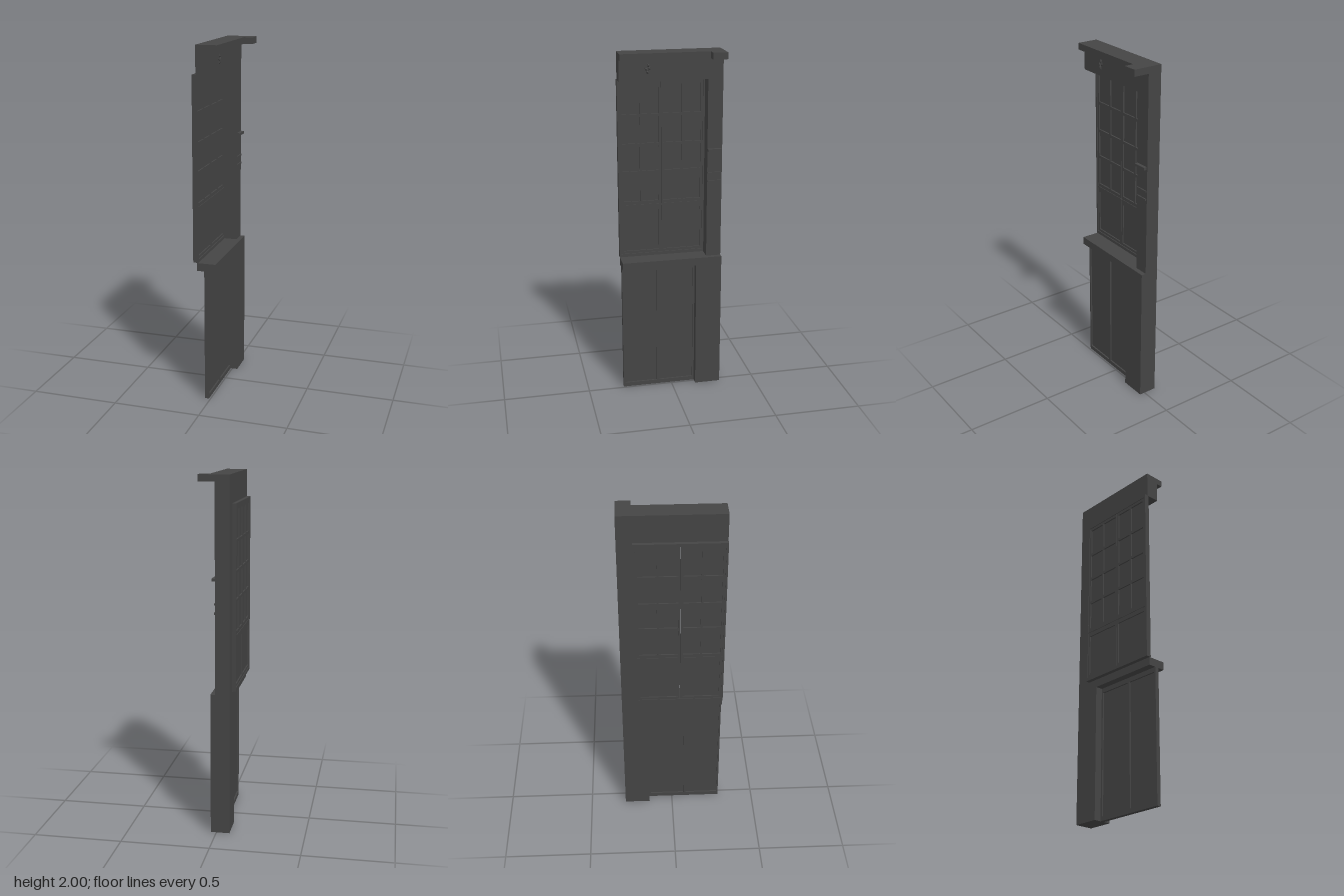
import * as THREE from 'three';

const material = new THREE.MeshStandardMaterial({ color: 0x444444, flatShading: true });

function add(parent, name, geometry) {
  const mesh = new THREE.Mesh(geometry, material);
  mesh.name = name;
  parent.add(mesh);
  return mesh;
}

// Box given by its minimum and maximum on each axis
function box(parent, name, [x0, x1], [y0, y1], [z0, z1]) {
  const mesh = add(parent, name, new THREE.BoxGeometry(x1 - x0, y1 - y0, z1 - z0));
  mesh.position.set((x0 + x1) / 2, (y0 + y1) / 2, (z0 + z1) / 2);
  return mesh;
}

// Closed rectangle in the wall plane, drawn at u = -z
function rectangle(Type, [y0, y1], [z0, z1]) {
  const path = new Type();
  path.moveTo(-z1, y0);
  path.lineTo(-z0, y0);
  path.lineTo(-z0, y1);
  path.lineTo(-z1, y1);
  path.closePath();
  return path;
}

// Slab across x with rectangular openings, each a pair of y and z ranges
function frame(parent, name, [x0, x1], y, z, openings) {
  const shape = rectangle(THREE.Shape, y, z);
  for (const [oy, oz] of openings) shape.holes.push(rectangle(THREE.Path, oy, oz));
  const geometry = new THREE.ExtrudeGeometry(shape, { depth: x1 - x0, bevelEnabled: false });
  geometry.rotateY(Math.PI / 2).translate(x0, 0, 0);
  return add(parent, name, geometry);
}

export function createModel() {
  const model = new THREE.Group();
  model.name = 'panelledWall';

  // Structural wall: stepped post, sill and lintel
  box(model, 'lowerPost', [-0.075, 0.032], [0, 0.765], [-0.29, -0.14]);
  box(model, 'sill', [-0.075, 0.032], [0.765, 0.81], [-0.29, 0.29]);
  box(model, 'upperPost', [-0.075, 0.005], [0.81, 1.845], [-0.29, -0.205]);
  box(model, 'lintel', [-0.075, 0.005], [1.845, 1.963], [-0.29, 0.29]);

  // Cornice, wider over the post
  box(model, 'cornice', [-0.075, 0.043], [1.963, 2], [-0.208, 0.29]);
  box(model, 'corniceReturn', [-0.075, 0.095], [1.963, 2], [-0.29, -0.208]);

  // Lower wainscot: frame with two sunk panels
  const wainscot = new THREE.Group();
  wainscot.name = 'wainscot';
  model.add(wainscot);
  const lowY = [0.025, 0.738];
  frame(wainscot, 'wainscotFrame', [-0.033, -0.009], [0, 0.765], [-0.14, 0.29],
    [[lowY, [0.088, 0.28]], [lowY, [-0.13, 0.073]]]);
  box(wainscot, 'wainscotPanel', [-0.024, -0.018], [0.015, 0.75], [-0.136, 0.285]);

  // Upper window: outer casing around two glazed leaves
  const windowGroup = new THREE.Group();
  windowGroup.name = 'window';
  model.add(windowGroup);
  frame(windowGroup, 'casing', [-0.096, -0.067], [0.812, 1.845], [-0.205, 0.291],
    [[[0.83, 1.827], [-0.195, 0.28]]]);

  const rows = [[1.144, 1.305], [1.322, 1.465], [1.482, 1.632], [1.649, 1.81]];
  const leaves = [
    { z: [0.045, 0.28], columns: [[0.166, 0.267], [0.059, 0.155]] },
    { z: [-0.195, 0.043], columns: [[-0.072, 0.033], [-0.183, -0.083]] },
  ];
  for (const { z, columns } of leaves) {
    const panes = rows.flatMap((row) => columns.map((column) => [row, column]));
    const panelZ = [columns[1][0], columns[0][1]];
    frame(windowGroup, 'leafFrame', [-0.092, -0.072], [0.83, 1.827], z,
      [...panes, [[0.845, 1.09], panelZ]]);
    box(windowGroup, 'glass', [-0.084, -0.08], [1.135, 1.82], panelZ);
    box(windowGroup, 'leafPanel', [-0.085, -0.079], [0.84, 1.095], panelZ);
    // Moulding between the glazing and the solid panel
    box(windowGroup, 'lockRail', [-0.095, -0.069], [1.115, 1.125], z);
  }

  // Small ledge and strips on the upper post
  box(model, 'postLedge', [0.005, 0.024], [1.437, 1.452], [-0.285, -0.205]);
  for (const [y0, y1] of [[1.307, 1.315], [1.257, 1.267]]) {
    box(model, 'postStrip', [0.005, 0.012], [y0, y1], [-0.285, -0.208]);
  }

  // Little carved sprig on the lintel
  const sprig = new THREE.Group();
  sprig.name = 'carvedSprig';
  sprig.position.set(0.006, 1.91, 0.13);
  model.add(sprig);
  for (const [y, z, tilt] of [[0.02, -0.002, 0.5], [0.004, -0.008, -0.5], [0, 0.01, 0.9], [-0.016, 0.004, 0.6]]) {
    const leaf = add(sprig, 'leaf', new THREE.OctahedronGeometry(0.014));
    leaf.scale.set(0.5, 1, 0.6);
    leaf.position.set(0, y, z);
    leaf.rotation.x = tilt;
  }
  return model;
}
